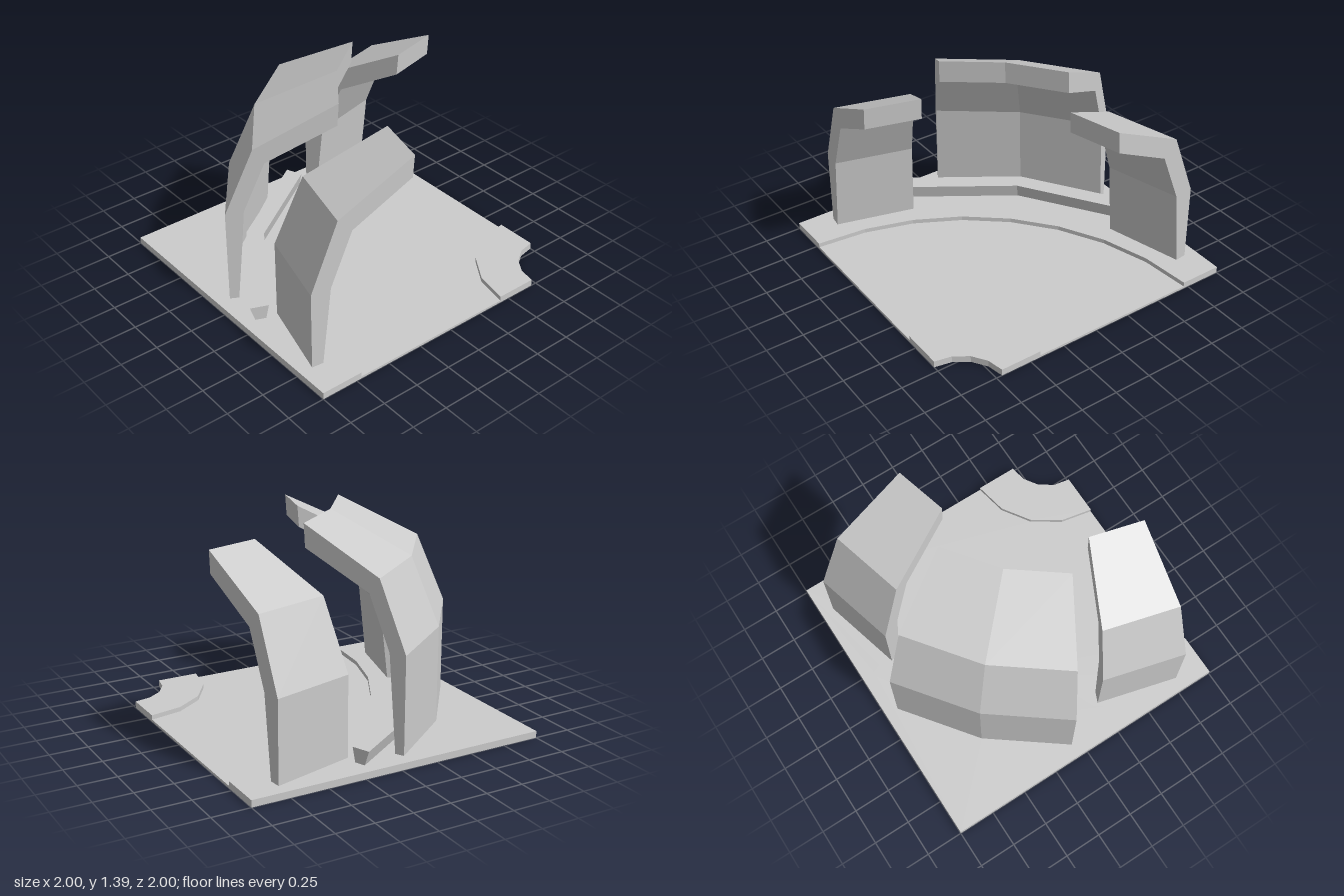
import * as THREE from 'three';

const material = new THREE.MeshStandardMaterial({
  color: 0xcccccc, flatShading: true, side: THREE.DoubleSide,
});
const rad = THREE.MathUtils.degToRad;

// Everything is laid out radially around the back left corner (1, -1).
const polar = (r, deg, y = 0) =>
  [1 - r * Math.cos(rad(deg)), y, -1 + r * Math.sin(rad(deg))];
const arc = (r, n, from = 0, to = 90) =>
  Array.from({ length: n + 1 }, (_, i) => {
    const [x, , z] = polar(r, from + (to - from) * i / n);
    return [x, z];
  });

function quadMesh(name, quads) {
  const geometry = new THREE.BufferGeometry();
  const pos = quads.flatMap(([a, b, c, d]) => [a, b, c, a, c, d].flat());
  geometry.setAttribute('position', new THREE.Float32BufferAttribute(pos, 3));
  geometry.computeVertexNormals();
  const mesh = new THREE.Mesh(geometry, material);
  mesh.name = name;
  return mesh;
}

// Hollow slab: a top sheet and side walls around a counterclockwise outline.
function slab(name, outline, height, hole) {
  const group = new THREE.Group();
  group.name = name;
  const flat = (pts) => pts.map(([x, z]) => new THREE.Vector2(x, -z));
  const shape = new THREE.Shape(flat(outline));
  if (hole) shape.holes.push(new THREE.Path(flat(hole)));
  const sheet = new THREE.ShapeGeometry(shape).rotateX(-Math.PI / 2).translate(0, height, 0);
  const top = new THREE.Mesh(sheet, material);
  top.name = name + 'Top';
  const walls = outline.map(([x, z], i) => {
    const [u, w] = outline[(i + 1) % outline.length];
    return [[x, 0, z], [u, 0, w], [u, height, w], [x, height, z]];
  });
  group.add(top, quadMesh(name + 'Sides', walls));
  return group;
}

// Solid swept around the corner; each row is [outer r, outer y, inner r, inner y].
function sweep(name, rows, angles, closedBottom = true) {
  const loop = [
    ...rows.map(([r, y]) => [r, y]),
    ...rows.map(([, , r, y]) => [r, y]).reverse(),
  ];
  const quads = [];
  for (let j = 0; j < angles.length - 1; j++) {
    const [a, b] = [angles[j], angles[j + 1]];
    loop.forEach(([r, y], k) => {
      if (k === loop.length - 1 && !closedBottom) return;
      const [s, t] = loop[(k + 1) % loop.length];
      quads.push([polar(r, a, y), polar(r, b, y), polar(s, b, t), polar(s, a, t)]);
    });
  }
  // end caps
  for (const [a, flip] of [[angles[0], false], [angles[angles.length - 1], true]]) {
    for (let i = 0; i < rows.length - 1; i++) {
      const [ro, yo, ri, yi] = rows[i];
      const [so, to, si, ti] = rows[i + 1];
      const cap = [polar(ri, a, yi), polar(ro, a, yo), polar(so, a, to), polar(si, a, ti)];
      quads.push(flip ? cap.reverse() : cap);
    }
  }
  return quadMesh(name, quads);
}

export function createModel() {
  const model = new THREE.Group();
  model.name = 'curvedShelter';
  const H = 0.045;

  // Ground plate: raised outer area, sunken floor, raised inner ring
  const outerOutline = [[-1, -1], [-1, 1], [1, 1], ...arc(1.715, 8).reverse()];
  const curbHole = [...arc(2.07, 2, 22.5, 67.5), ...arc(2.0, 2, 22.5, 67.5).reverse()];
  model.add(
    slab('outerPlate', outerOutline, H, curbHole),
    slab('sunkenFloor', [...arc(1.715, 8), ...arc(0.57, 4).reverse()], 0.015),
    slab('innerRing', [...arc(0.57, 4), ...arc(0.29, 4).reverse()], H),
  );

  // Low curb, widening upward, open underneath
  model.add(sweep('curb', [
    [2.07, H, 2.0, H],
    [2.10, 0.14, 1.98, 0.14],
  ], [22.5, 45, 67.5], false));

  // Tall bent panel in the middle
  model.add(sweep('middlePanel', [
    [2.19, H, 2.13, H],
    [2.19, 0.68, 2.08, 0.68],
    [2.007, 1.125, 1.938, 1.025],
    [1.486, 1.39, 1.495, 1.24],
  ], [29.2, 45, 60.8]));

  // Shorter bent panels on either side
  const sideRows = [
    [1.925, H, 1.847, H],
    [1.925, 0.575, 1.79, 0.575],
    [1.742, 1.025, 1.645, 0.925],
    [1.225, 1.285, 1.235, 1.14],
  ];
  model.add(
    sweep('rightPanel', sideRows, [6.5, 23.3]),
    sweep('leftPanel', sideRows, [66.7, 83.5]),
  );
  return model;
}
